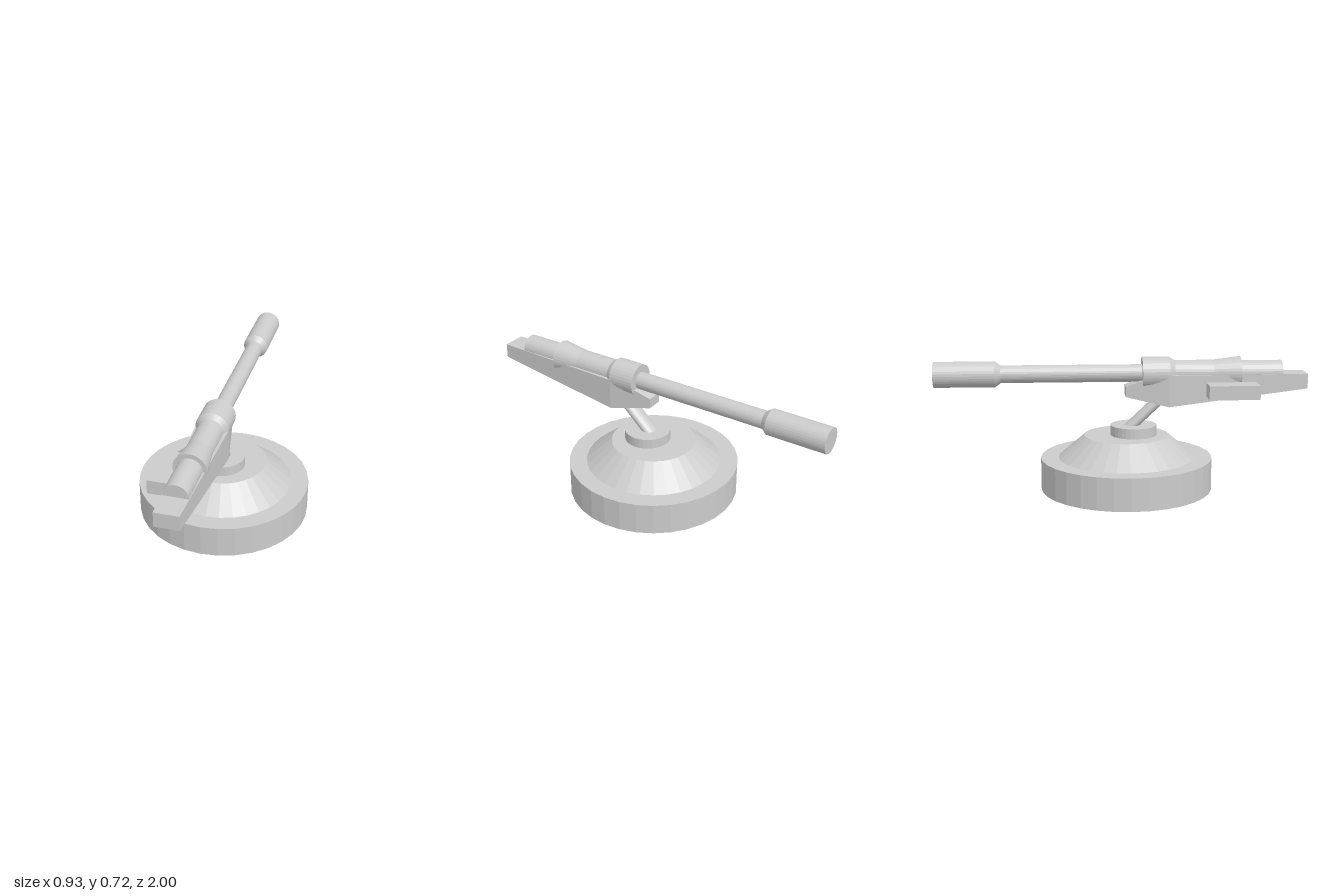
import * as THREE from 'three';

const mat = new THREE.MeshStandardMaterial({ color: 0xcccccc, flatShading: true });
const SIDES = 32;
const BARREL_Y = 0.633;

export function createModel() {
  const model = new THREE.Group();

  const add = (name, geometry, parent = model) => {
    const mesh = new THREE.Mesh(geometry, mat);
    mesh.name = name;
    parent.add(mesh);
    return mesh;
  };

  // Upright round section from y0 to y1
  const disc = (name, r0, r1, y0, y1, z) =>
    add(name, new THREE.CylinderGeometry(r1, r0, y1 - y0, SIDES)).position.set(0, (y0 + y1) / 2, z);

  // Stepped round base
  disc('baseDrum', 0.465, 0.465, 0, 0.175, 0.026);
  disc('baseCone', 0.37, 0.23, 0.175, 0.295, 0.026);
  disc('pivotCollar', 0.125, 0.125, 0.295, 0.35, 0.065);

  // Leaning post: a cylinder sheared forward, so its ends stay level
  const post = new THREE.CylinderGeometry(0.046, 0.046, 0.2, SIDES);
  post.scale(1, 1, 0.92);
  post.applyMatrix4(new THREE.Matrix4().set(
    1, 0, 0, 0,
    0, 1, 0, 0.435,
    0, 1.06, 1, 0.148,
    0, 0, 0, 1));
  add('leaningPost', post);

  // Wedge-shaped cradle lofted through sections [z, bottom, top, halfWidth]
  const sections = [
    [1, 0.55, 0.63, 0.063],
    [0.25, 0.46, 0.63, 0.087],
    [0.19, 0.473, 0.63, 0.076],
    [0.02, 0.51, 0.565, 0.045],
  ];
  const corners = sections.map(([z, b, t, w]) => [[-w, b, z], [w, b, z], [w, t, z], [-w, t, z]]);
  const pos = [];
  const quad = (a, b, c, d) => pos.push(...a, ...b, ...c, ...a, ...c, ...d);
  for (let i = 0; i < corners.length - 1; i++) {
    const f = corners[i], r = corners[i + 1];
    for (let k = 0; k < 4; k++) {
      const n = (k + 1) % 4;
      quad(f[k], r[k], r[n], f[n]);
    }
  }
  quad(...corners[0]);
  quad(...[...corners[corners.length - 1]].reverse());
  const cradleGeo = new THREE.BufferGeometry();
  cradleGeo.setAttribute('position', new THREE.Float32BufferAttribute(pos, 3));
  cradleGeo.computeVertexNormals();
  add('cradle', cradleGeo);

  // Box on the right side of the cradle
  add('sideBox', new THREE.BoxGeometry(0.14, 0.075, 0.27)).position.set(-0.122, 0.5525, 0.585);

  // Barrel: round sections along z, [name, zFront, zBack, rFront, rBack]
  const barrel = new THREE.Group();
  barrel.name = 'barrel';
  barrel.position.y = BARREL_Y;
  model.add(barrel);
  [
    ['frontTube', 0.865, 0.64, 0.064, 0.064],
    ['flaredSleeve', 0.64, 0.49, 0.087, 0.068],
    ['sleeve', 0.49, 0.285, 0.068, 0.068],
    ['ringTaper', 0.285, 0.255, 0.068, 0.087],
    ['ring', 0.255, 0.11, 0.087, 0.087],
    ['longTube', 0.11, -0.645, 0.047, 0.047],
    ['endTaper', -0.645, -0.675, 0.047, 0.069],
    ['endWeight', -0.675, -1, 0.069, 0.069],
  ].forEach(([name, z0, z1, r0, r1]) => {
    const g = new THREE.CylinderGeometry(r0, r1, z0 - z1, SIDES);
    g.rotateX(Math.PI / 2);
    add(name, g, barrel).position.z = (z0 + z1) / 2;
  });

  return model;
}
